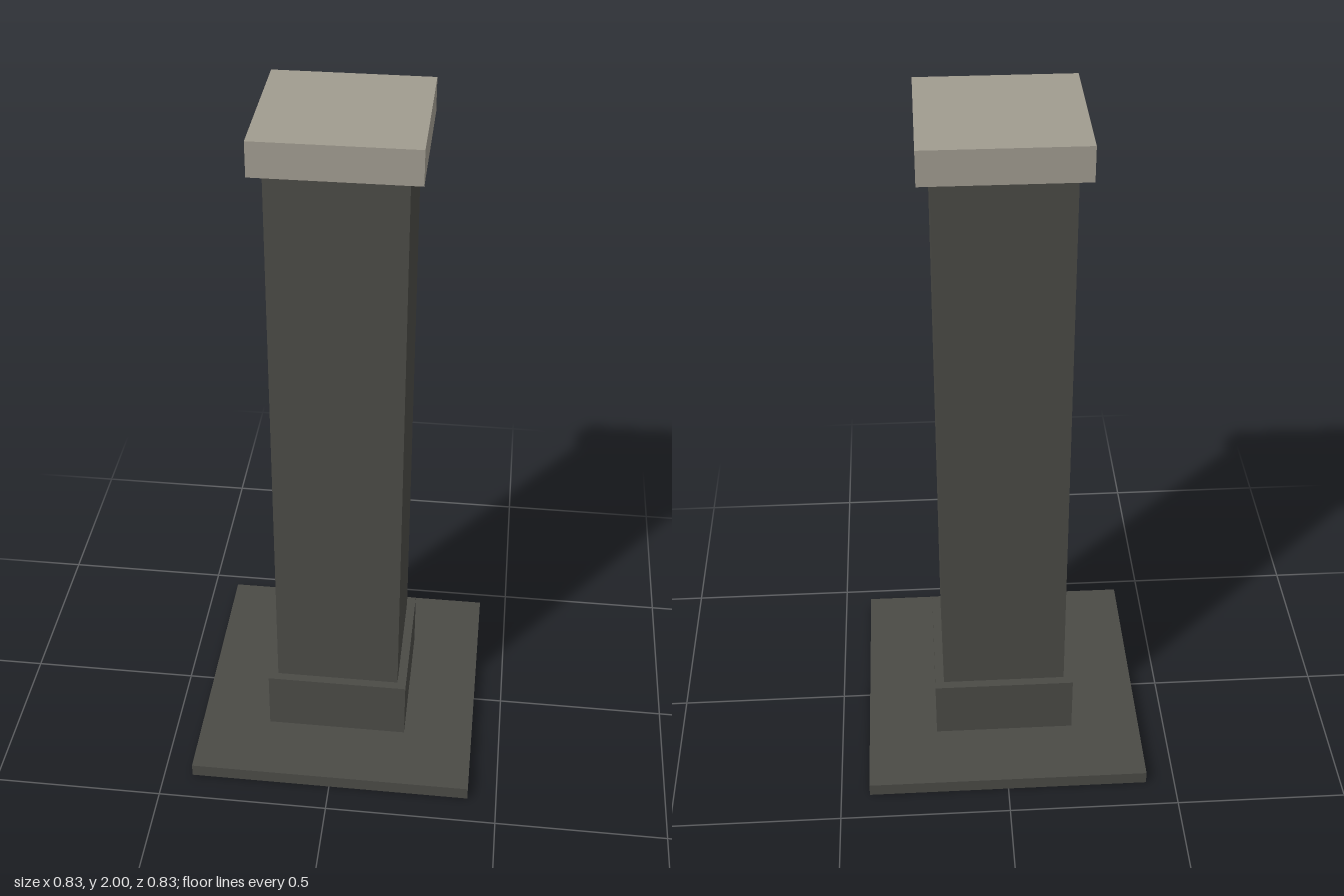
import * as THREE from 'three';

export function createModel() {
  const model = new THREE.Group();
  model.name = 'squarePost';

  const darkMetal = new THREE.MeshStandardMaterial({ color: 0x4a4a45 });
  darkMetal.name = 'dark metal';
  const paleStone = new THREE.MeshStandardMaterial({ color: 0xa09b8f });
  paleStone.name = 'pale stone';

  // Square block between two heights, centred on the y axis
  function block(name, width, bottom, top, material) {
    const mesh = new THREE.Mesh(new THREE.BoxGeometry(width, top - bottom, width), material);
    mesh.position.y = (bottom + top) / 2;
    mesh.name = name;
    model.add(mesh);
  }

  block('basePlate', 0.83, 0, 0.04, darkMetal);
  block('footCollar', 0.416, 0.04, 0.225, darkMetal);
  block('shaft', 0.364, 0.225, 1.905, darkMetal);
  // Cap with a dark underside (fourth face of the box)
  const capFaces = [0, 1, 2, 3, 4, 5].map((i) => (i === 3 ? darkMetal : paleStone));
  block('cap', 0.432, 1.905, 2, capFaces);

  return model;
}
